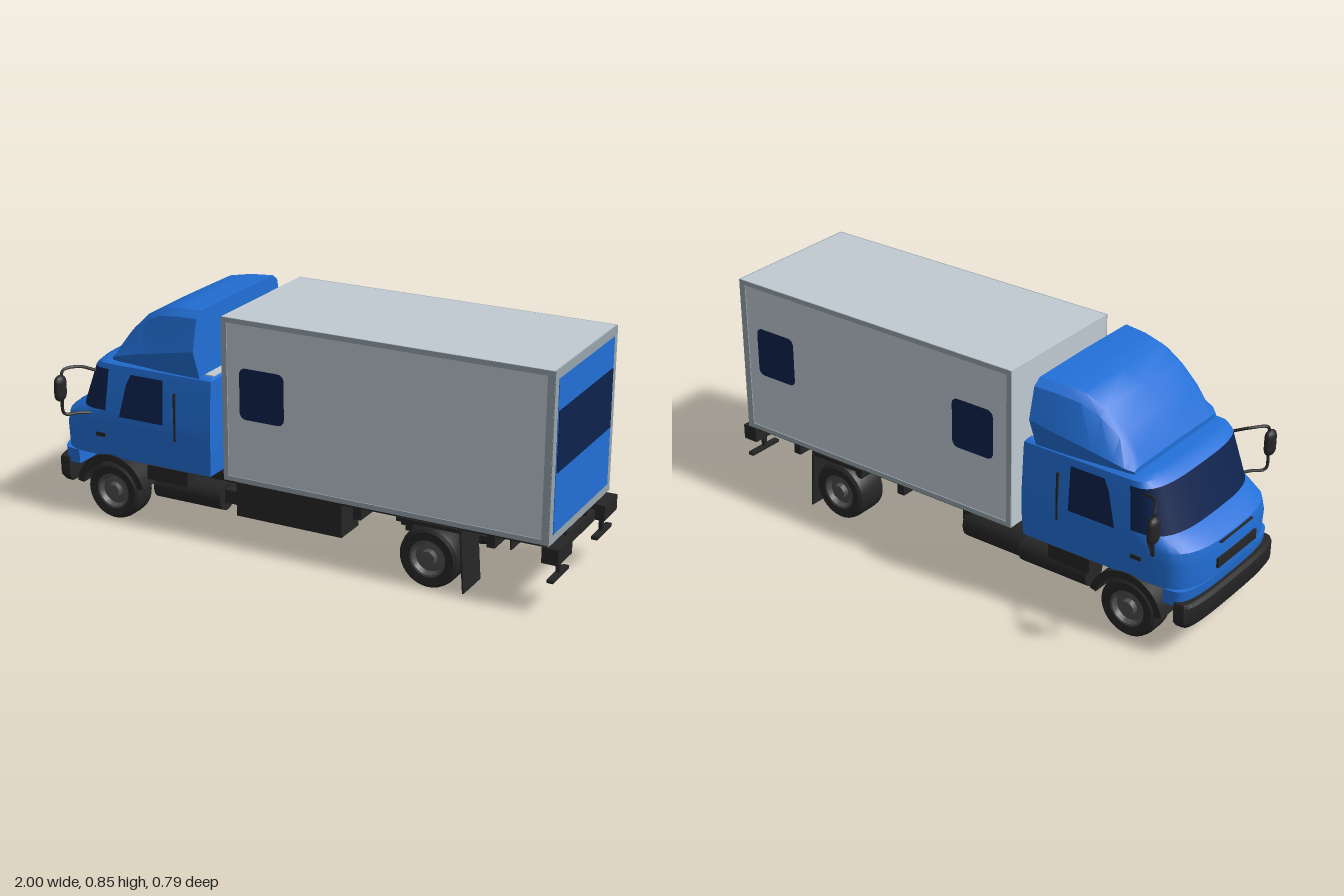
import * as THREE from 'three';
import { toCreasedNormals } from 'three/addons/utils/BufferGeometryUtils.js';

const mat = (name, color, side = THREE.FrontSide) => {
  const m = new THREE.MeshStandardMaterial({ color, side });
  m.name = name;
  return m;
};

export function createModel() {
  const blue = mat('cab blue', 0x226fd6);
  const navy = mat('dark glass', 0x0d224d, THREE.DoubleSide);
  const grey = mat('box grey', 0xc0cad2);
  const trim = mat('frame grey', 0x98a4ac);
  const black = mat('chassis black', 0x262626);
  const rimGrey = mat('rim grey', 0x4c4c4c);

  const truck = new THREE.Group();
  truck.name = 'boxTruck';
  const add = (name, geo, material, x = 0, y = 0, z = 0) => {
    const m = new THREE.Mesh(geo, material);
    m.name = name;
    m.position.set(x, y, z);
    truck.add(m);
    return m;
  };
  // Box given by its extents on each axis
  const block = (name, material, x0, x1, y0, y1, z0, z1) => add(name,
    new THREE.BoxGeometry(x1 - x0, y1 - y0, Math.abs(z1 - z0)), material,
    (x0 + x1) / 2, (y0 + y1) / 2, (z0 + z1) / 2);
  // Cylinder along z (or x)
  const rod = (name, material, r, len, x, y, z, alongX = false) => {
    const g = new THREE.CylinderGeometry(r, r, len, 20);
    if (alongX) g.rotateZ(Math.PI / 2); else g.rotateX(Math.PI / 2);
    return add(name, g, material, x, y, z);
  };
  // Skin over closed rings of points; keep(i, j) chooses the faces
  const loft = (rings, keep = () => true, crease = 0.55) => {
    const pos = [];
    for (let i = 0; i < rings.length - 1; i++) {
      const n = rings[i].length;
      for (let j = 0; j < n; j++) {
        if (!keep(i, j)) continue;
        const k = (j + 1) % n;
        const [a, b, c, d] = [rings[i][j], rings[i][k], rings[i + 1][k], rings[i + 1][j]];
        for (const tri of [[a, b, c], [a, c, d]]) {
          const [p, q, r] = tri.map(v => new THREE.Vector3(...v));
          if (q.sub(p).cross(r.sub(p)).length() > 1e-9) pos.push(...tri.flat());
        }
      }
    }
    const g = new THREE.BufferGeometry();
    g.setAttribute('position', new THREE.Float32BufferAttribute(pos, 3));
    g.computeVertexNormals();
    return toCreasedNormals(g, crease);
  };
  const capped = rings => {
    const point = r => r.map(() => [0, 1, 2].map(k => r.reduce((s, p) => s + p[k], 0) / r.length));
    return [point(rings[0]), ...rings, point(rings.at(-1))];
  };

  // Plan outline with a rounded nose: height, nose x, side x, half width, back x
  const N = 16;
  const plan = (y, nose, sideX, hw, back) => {
    const ring = [];
    for (let i = 0; i <= N; i++) {
      const a = (i / N - 0.5) * Math.PI;
      ring.push([sideX + (nose - sideX) * Math.max(0, Math.cos(a)) ** 0.6, y,
        hw * Math.sign(Math.sin(a)) * Math.abs(Math.sin(a)) ** 0.65]);
    }
    ring.push([back, y, hw], [back, y, -hw]);
    return ring;
  };

  // Cab shell and wraparound windshield
  const cab = capped([
    plan(0.25, -0.985, -0.84, 0.28, -0.32),
    plan(0.34, -0.992, -0.83, 0.285, -0.315),
    plan(0.385, -0.985, -0.8, 0.286, -0.315),
    plan(0.412, -0.945, -0.77, 0.286, -0.315),
    plan(0.428, -0.91, -0.757, 0.285, -0.315),
    plan(0.585, -0.845, -0.742, 0.275, -0.315),
    plan(0.605, -0.82, -0.735, 0.272, -0.315),
    plan(0.613, -0.79, -0.72, 0.26, -0.32),
  ]);
  const isGlass = (i, j) => i === 5 && j < N;
  add('cabShell', loft(cab, (i, j) => !isGlass(i, j)), blue);
  add('windshield', loft(cab, isGlass), navy);
  add('frontApron', loft(capped([
    plan(0.195, -0.975, -0.91, 0.275, -0.885), plan(0.252, -0.985, -0.9, 0.28, -0.885)])), blue);
  add('frontBumper', loft(capped([
    plan(0.115, -0.985, -0.95, 0.26, -0.93), plan(0.14, -1, -0.95, 0.28, -0.93),
    plan(0.2, -1, -0.95, 0.282, -0.93), plan(0.213, -0.99, -0.95, 0.278, -0.93)])), black);
  block('grilleSlot', black, -0.997, -0.988, 0.29, 0.325, -0.12, 0.12);
  block('hoodSlot', black, -0.992, -0.982, 0.375, 0.38, -0.1, 0.1);
  block('roofRearPanel', grey, -0.358, -0.322, 0.61, 0.617, -0.24, 0.24);

  // Roof fairing: x, crease height, top, base, crease and top half widths
  const fairing = [
    [-0.74, 0.622, 0.632, 0.245, 0.25, 0.225], [-0.715, 0.635, 0.67, 0.25, 0.27, 0.23],
    [-0.67, 0.65, 0.735, 0.255, 0.28, 0.235], [-0.6, 0.668, 0.8, 0.26, 0.29, 0.245],
    [-0.53, 0.683, 0.838, 0.265, 0.298, 0.258], [-0.45, 0.7, 0.851, 0.268, 0.305, 0.272],
    [-0.362, 0.718, 0.855, 0.27, 0.31, 0.282],
  ].map(([x, yc, top, b, w, t]) => {
    const half = [[b, 0.608], [w, yc], [t, top - (top - yc) * 0.18], [t - 0.03, top - 0.003]];
    return [...half.map(([z, y]) => [x, y, -z]), [x, top, 0],
      ...half.reverse().map(([z, y]) => [x, y, z])];
  });
  add('roofFairing', loft(capped(fairing)), blue);

  // Cargo box, edge frames and rear doors
  block('cargoBox', grey, -0.265, 0.962, 0.252, 0.853, -0.275, 0.275);
  block('cargoFloor', black, -0.26, 0.955, 0.24, 0.253, -0.265, 0.265);
  for (const s of [-1, 1]) {
    const z0 = s * 0.274, z1 = s * 0.279;
    block('sideLowerRail', trim, -0.265, 0.965, 0.252, 0.27, z0, z1);
    block('sideUpperRail', trim, -0.265, 0.965, 0.835, 0.853, z0, z1);
    block('sideFrontPost', trim, -0.265, -0.245, 0.252, 0.853, z0, z1);
    block('sideRearPost', trim, 0.94, 0.965, 0.252, 0.853, z0, z1);
  }
  block('rearFrame', trim, 0.961, 0.967, 0.25, 0.853, -0.278, 0.278);
  block('rearDoor', blue, 0.966, 0.969, 0.282, 0.82, -0.248, 0.248);
  block('rearDoorBand', navy, 0.968, 0.971, 0.495, 0.71, -0.243, 0.243);

  // Box windows with rounded corners
  const w = 0.088, h = 0.094, r = 0.025;
  const pane = new THREE.Shape();
  pane.absarc(w - r, h - r, r, 0, Math.PI / 2);
  pane.absarc(r - w, h - r, r, Math.PI / 2, Math.PI);
  pane.absarc(r - w, r - h, r, Math.PI, Math.PI * 1.5);
  pane.absarc(w - r, r - h, r, Math.PI * 1.5, Math.PI * 2);
  for (const [x, s] of [[-0.108, 1], [-0.1, -1], [0.805, -1]]) {
    const m = add('boxWindow', new THREE.ShapeGeometry(pane, 6), navy, x, 0.585, s * 0.278);
    if (s < 0) m.rotation.y = Math.PI;
  }

  // Tyre and rim profiles turned about the axle
  const wheel = (x, s, inner) => {
    const lathe = pts => new THREE.LatheGeometry(pts.map(p => new THREE.Vector2(...p)), 36)
      .rotateX(s * Math.PI / 2);
    const d = 0.274 - inner, z = s * inner;
    add('tyre', toCreasedNormals(lathe([[0, 0], [0.095, 0], [0.109, 0.012], [0.111, 0.03],
      [0.111, d - 0.025], [0.107, d - 0.008], [0.096, d], [0.068, d - 0.002], [0.064, d - 0.025],
      [0, d - 0.025]]), 0.6), black, x, 0.112, z);
    add('rim', toCreasedNormals(lathe([[0.067, d - 0.001], [0.06, d - 0.002], [0.052, d - 0.02],
      [0.03, d - 0.018], [0.027, d + 0.002], [0, d + 0.003]]), 0.6), rimGrey, x, 0.112, z);
  };

  // Parts on both sides
  const arch = new THREE.Shape();
  arch.absarc(0, 0, 0.146, 0.25, Math.PI - 0.15);
  arch.absarc(0, 0, 0.12, Math.PI - 0.15, 0.25, true);
  const archGeo = new THREE.ExtrudeGeometry(arch, { depth: 0.13, bevelEnabled: false, curveSegments: 20 });
  const doorGlass = new THREE.Shape([[-0.695, 0.415], [-0.51, 0.415], [-0.51, 0.58], [-0.645, 0.58],
    [-0.665, 0.54]].map(p => new THREE.Vector2(...p)));
  for (const s of [-1, 1]) {
    wheel(-0.745, s, 0.17);
    wheel(0.53, s, 0.14);
    add('wheelArch', archGeo, black, -0.745, 0.112, s > 0 ? 0.157 : -0.287);

    // Door glass leans with the cab side
    const g = new THREE.ShapeGeometry(doorGlass);
    const p = g.attributes.position;
    for (let i = 0; i < p.count; i++) p.setZ(i, s * (0.29 - (p.getY(i) - 0.415) * 0.065));
    g.computeVertexNormals();
    if (s < 0) g.index.array.reverse();
    g.computeVertexNormals();
    add('doorWindow', g, navy);
    block('doorHandleStrip', black, -0.465, -0.458, 0.36, 0.54, s * 0.276, s * 0.288);
    block('sideVent', black, -0.8, -0.76, 0.325, 0.34, s * 0.28, s * 0.288);
    block('cabStep', black, -0.59, -0.42, 0.19, 0.245, s * 0.17, s * 0.275);
    rod('stepTank', black, 0.052, 0.28, -0.43, 0.16, s * 0.215, true);

    // Mirror and its two arms
    add('mirror', new THREE.CapsuleGeometry(0.03, 0.05, 4, 12).scale(0.6, 0.9, 1), black,
      -0.893, 0.515, s * 0.364);
    for (const pts of [
      [[-0.8, 0.57, 0.27], [-0.85, 0.585, 0.3], [-0.888, 0.58, 0.35], [-0.89, 0.55, 0.362]],
      [[-0.82, 0.405, 0.275], [-0.85, 0.412, 0.31], [-0.888, 0.415, 0.353], [-0.89, 0.48, 0.362]],
    ]) add('mirrorArm', new THREE.TubeGeometry(new THREE.CatmullRomCurve3(
      pts.map(([x, y, z]) => new THREE.Vector3(x, y, s * z))), 16, 0.006, 6), black);

    // Chassis rail, mud flap and tail units
    block('chassisRail', black, -0.92, 0.96, 0.185, 0.24, s * 0.08, s * 0.105);
    const flap = block('mudFlap', black, 0.654, 0.66, 0.012, 0.235, s * 0.135, s * 0.275);
    flap.rotation.z = 0.07;
    block('rearFender', black, 0.41, 0.655, 0.228, 0.242, s * 0.14, s * 0.272);
    block('tailLamp', black, 0.94, 1, 0.185, 0.242, s * 0.15, s * 0.272);
    block('tailHanger', black, 0.966, 0.98, 0.12, 0.2, s * 0.19, s * 0.205);
    block('tailStep', black, 0.962, 0.985, 0.118, 0.13, s * 0.13, s * 0.272);
    block('rearSpring', black, 0.36, 0.72, 0.15, 0.17, s * 0.105, s * 0.13);
  }

  // Underbody
  block('sideLocker', black, -0.22, 0.2, 0.118, 0.245, 0.14, 0.268);
  block('sideLockerMount', black, -0.28, -0.22, 0.15, 0.2, 0.1, 0.25);
  rod('fuelTank', black, 0.062, 0.25, -0.17, 0.175, -0.205, true);
  block('engineBlock', black, -0.88, -0.55, 0.14, 0.249, -0.13, 0.13);
  rod('gearbox', black, 0.055, 0.3, -0.42, 0.17, 0, true);
  block('gapCrossMember', black, -0.31, -0.26, 0.19, 0.25, -0.11, 0.11);
  rod('driveShaft', black, 0.016, 0.85, 0.1, 0.14, 0, true);
  rod('frontAxle', black, 0.022, 0.4, -0.745, 0.112, 0);
  rod('rearAxle', black, 0.026, 0.4, 0.53, 0.112, 0);
  add('differential', new THREE.SphereGeometry(0.055, 20, 14), black, 0.53, 0.107, 0);
  for (const x of [-0.05, 0.25, 0.45, 0.75]) {
    block('crossMember', black, x - 0.015, x + 0.015, 0.19, 0.24, -0.25, 0.25);
  }
  block('rearBar', black, 0.93, 0.965, 0.182, 0.222, -0.15, 0.15);
  return truck;
}
